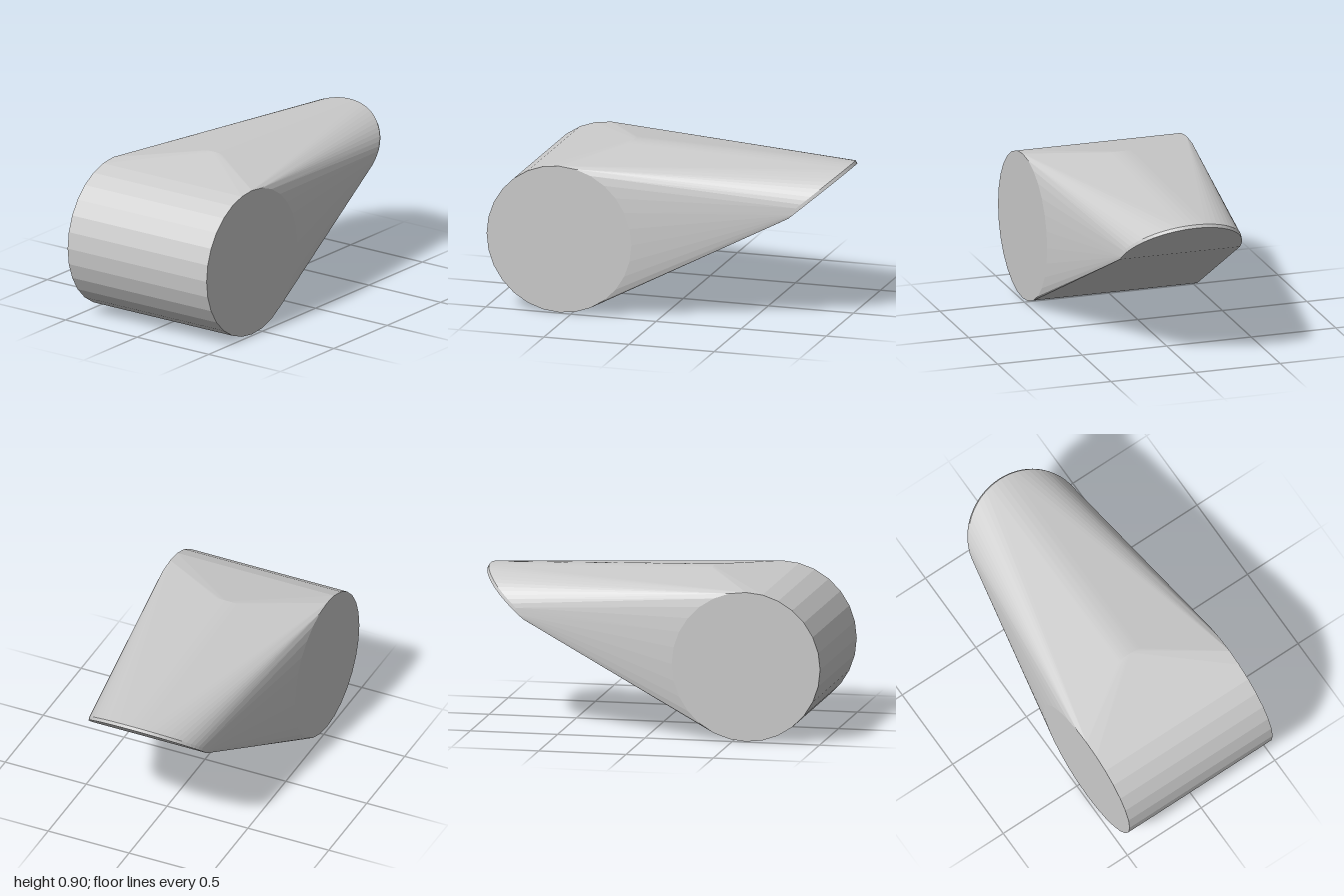
import * as THREE from 'three';
import { ConvexGeometry } from 'three/addons/geometries/ConvexGeometry.js';

const HALF_WIDTH = 0.485;
const ROLL = { radius: 0.425, y: 0.425, z: 0.575, sides: 28 };
const TIP = { radius: 0.355, y: 0.62, z: -0.73, slopeY: 0.648, slopeZ: -0.762, steps: 32 };

// Ring of the thick round end, lying across the body at a given x
function rollRing(x) {
  return Array.from({ length: ROLL.sides }, (_, i) => {
    const a = (i / ROLL.sides) * Math.PI * 2;
    return new THREE.Vector3(x, ROLL.y + ROLL.radius * Math.sin(a), ROLL.z + ROLL.radius * Math.cos(a));
  });
}

// Slanted arc of half angle `spread`, shifted in y and z
function slantedArc(spread, dy, dz) {
  return Array.from({ length: TIP.steps + 1 }, (_, i) => {
    const a = -spread + (i / TIP.steps) * spread * 2;
    const up = TIP.radius * Math.cos(a);
    return new THREE.Vector3(
      TIP.radius * Math.sin(a),
      TIP.y + dy + up * TIP.slopeY,
      TIP.z + dz + up * TIP.slopeZ
    );
  });
}

export function createModel() {
  const group = new THREE.Group();
  group.name = 'taperedWedge';

  // One tight skin around the round end, the thin half-disc tip and the top crest
  const points = [
    ...rollRing(-HALF_WIDTH),
    ...rollRing(HALF_WIDTH),
    ...slantedArc(Math.PI / 2, 0, 0),
    ...slantedArc(Math.PI / 2, 0.017, 0.01),
    ...slantedArc(Math.PI / 6, 0.053, 1.288)
  ];
  const body = new THREE.Mesh(
    new ConvexGeometry(points),
    new THREE.MeshStandardMaterial({ color: 0xcccccc, flatShading: true })
  );
  body.name = 'body';
  group.add(body);
  return group;
}
